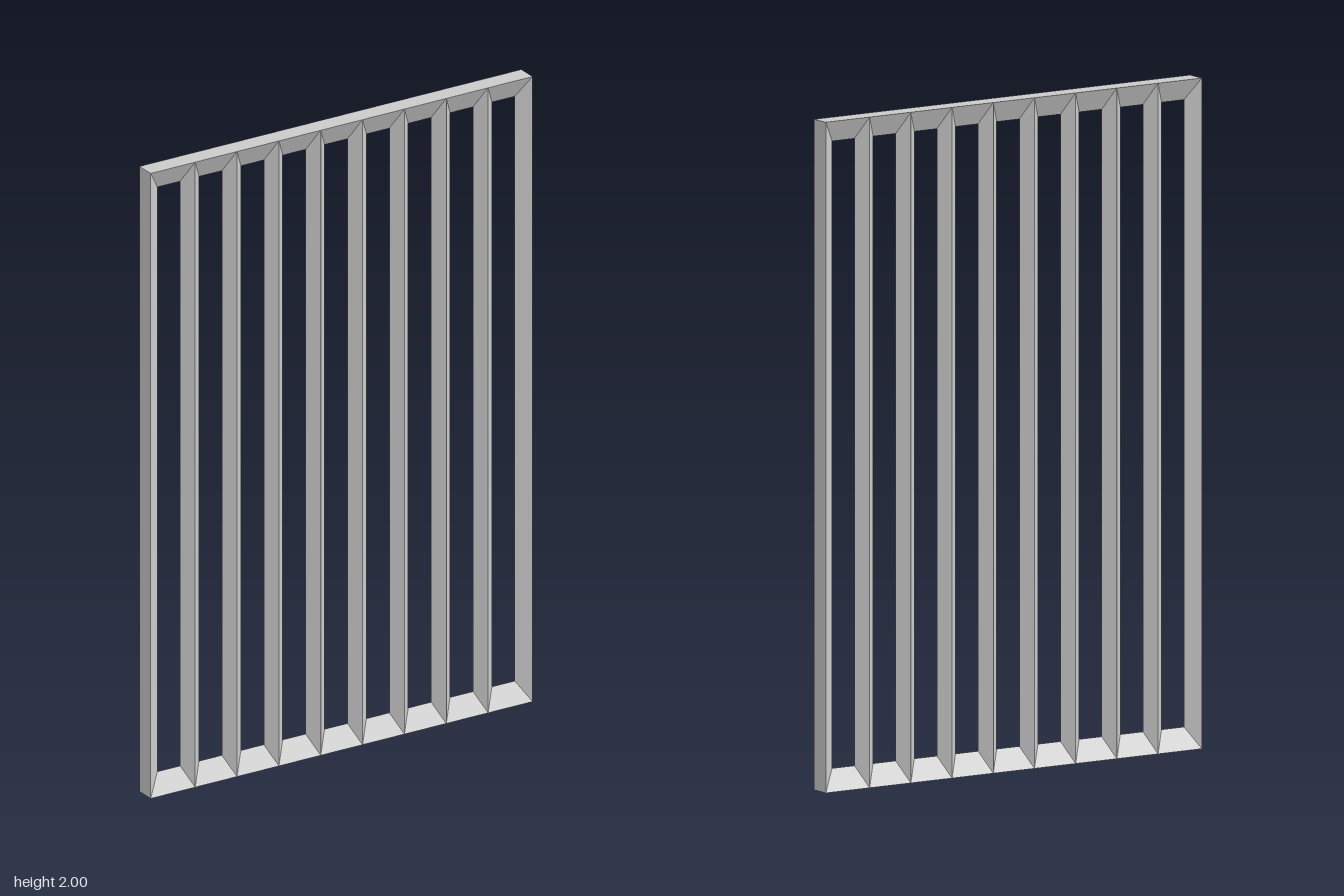
import * as THREE from 'three';
import { ConvexGeometry } from 'three/addons/geometries/ConvexGeometry.js';

const W = 0.665;        // half width of the frame
const H = 2;            // height
const D = 0.031;        // half depth
const STILE = 0.043;    // stile width, from outer face to inner edge
const RAIL = 0.065;     // rail height, from outer face to inner edge
const BAR = 0.033;      // half width of a bar
const BARS = 8, PITCH = 0.1457;

const material = new THREE.MeshStandardMaterial({ color: 0xcccccc, flatShading: true });

function hull(name, points) {
  const mesh = new THREE.Mesh(
    new ConvexGeometry(points.map((p) => new THREE.Vector3(...p))), material);
  mesh.name = name;
  return mesh;
}

export function createModel() {
  const group = new THREE.Group();
  group.name = 'barredGrille';

  // Side stiles: triangular section, mitred ends, sharp edge inwards
  for (const s of [-1, 1]) {
    group.add(hull(s > 0 ? 'leftStile' : 'rightStile', [
      [s * W, 0, D], [s * W, 0, -D], [s * W, H, D], [s * W, H, -D],
      [s * (W - STILE), RAIL, 0], [s * (W - STILE), H - RAIL, 0],
    ]));
  }

  // Top and bottom rails: same section, mitred against the stiles
  for (const [name, outer, inner] of [['bottomRail', 0, RAIL], ['topRail', H, H - RAIL]]) {
    group.add(hull(name, [
      [-W, outer, D], [-W, outer, -D], [W, outer, D], [W, outer, -D],
      [-W + STILE, inner, 0], [W - STILE, inner, 0],
    ]));
  }

  // Upright bars: diamond section, ends cut to fit the rails
  for (let i = 0; i < BARS; i++) {
    const bar = hull('bar' + (i + 1), [
      [0, 0, D], [0, 0, -D], [0, H, D], [0, H, -D],
      [-BAR, RAIL, 0], [-BAR, H - RAIL, 0], [BAR, RAIL, 0], [BAR, H - RAIL, 0],
    ]);
    bar.position.x = (i - (BARS - 1) / 2) * PITCH;
    group.add(bar);
  }
  return group;
}
